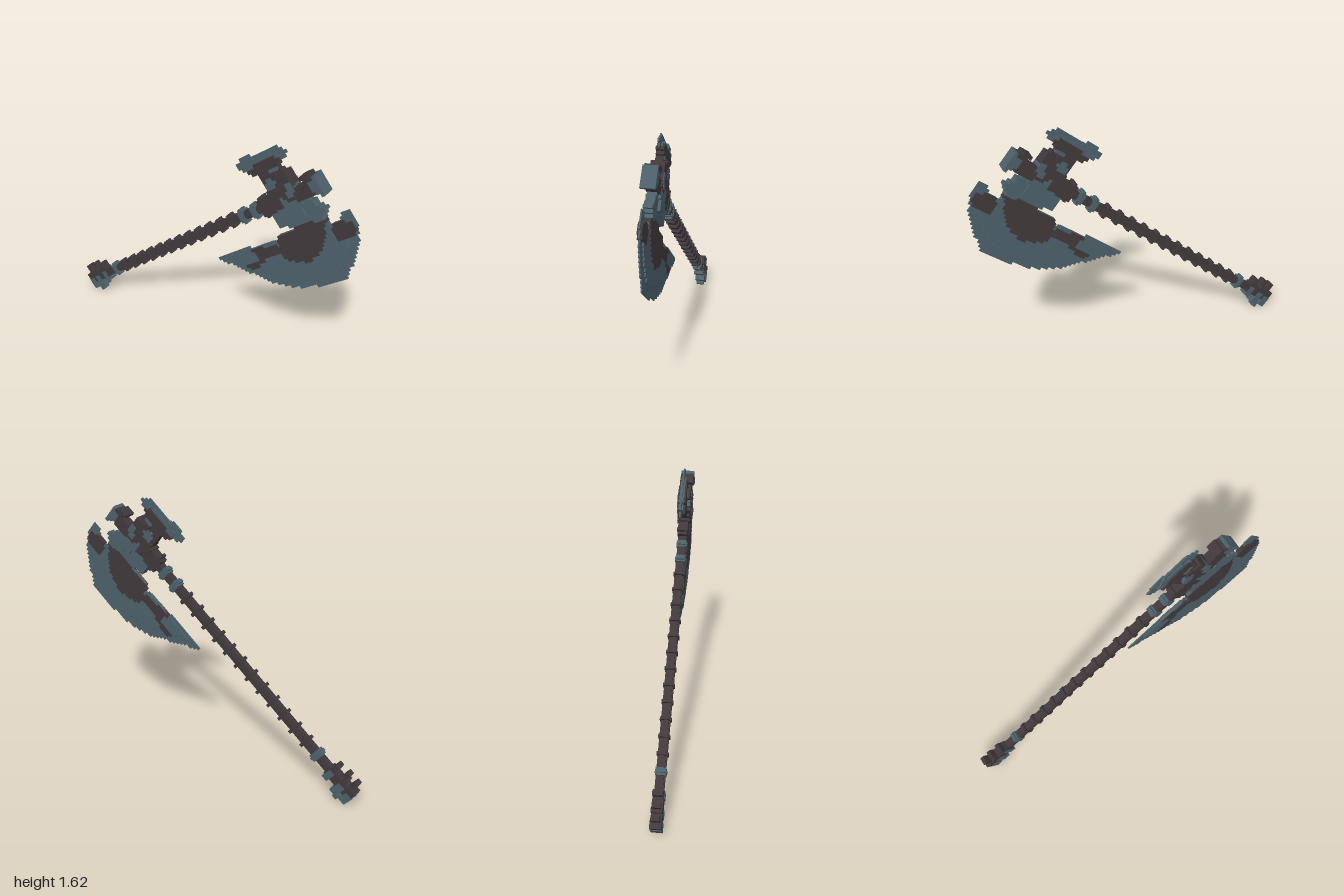
import * as THREE from 'three';
import { mergeGeometries } from 'three/addons/utils/BufferGeometryUtils.js';

const ANGLE = 40 * Math.PI / 180, HEAD = [0.52, 1.31], CELL = 0.02;
const C = Math.cos(ANGLE), S = Math.sin(ANGLE);

// world x,y -> axe frame (u along the shaft, v across it)
const toLocal = ([x, y]) => {
  const dx = x - HEAD[0], dy = y - HEAD[1];
  return [C * dx + S * dy, -S * dx + C * dy];
};
const snap = (t) => Math.round(t / CELL) * CELL;

// Fills an outline with rows of square cells, giving stepped edges
function blockSlab(outline, depth) {
  const p = outline.map(toLocal);
  const vs = p.map((q) => q[1]);
  const boxes = [];
  const top = Math.max(...vs);
  for (let r = Math.floor(Math.min(...vs) / CELL); r * CELL < top; r++) {
    const v = (r + 0.5) * CELL, cuts = [];
    p.forEach((a, i) => {
      const b = p[(i + 1) % p.length];
      if ((a[1] > v) !== (b[1] > v)) cuts.push(a[0] + (b[0] - a[0]) * (v - a[1]) / (b[1] - a[1]));
    });
    cuts.sort((a, b) => a - b);
    for (let i = 0; i + 1 < cuts.length; i += 2) {
      const a = snap(cuts[i]), b = snap(cuts[i + 1]);
      if (b - a < CELL / 2) continue;
      boxes.push(new THREE.BoxGeometry(b - a, CELL, depth).translate((a + b) / 2, v, 0));
    }
  }
  return mergeGeometries(boxes);
}

export function createModel() {
  const slate = new THREE.MeshStandardMaterial({ color: 0x4c5f69 });
  slate.name = 'slate steel';
  const dark = new THREE.MeshStandardMaterial({ color: 0x40383a });
  dark.name = 'dark iron';

  const axe = new THREE.Group();
  axe.name = 'battleAxe';
  axe.position.set(HEAD[0], HEAD[1], 0);
  axe.rotation.z = ANGLE;

  const add = (name, geo, mat) => {
    const m = new THREE.Mesh(geo, mat);
    m.name = name;
    axe.add(m);
  };
  const slab = (name, mat, depth, outline) => add(name, blockSlab(outline, depth), mat);
  const bar = (name, mat, u0, u1, v0, v1, depth) =>
    add(name, new THREE.BoxGeometry(u1 - u0, v1 - v0, depth).translate((u0 + u1) / 2, (v0 + v1) / 2, 0), mat);

  // Shaft: crossed bars with evenly spaced grip rings
  bar('shaft', dark, -1.9, 0, -0.025, 0.025, 0.04);
  bar('shaftSides', dark, -1.9, 0, -0.015, 0.015, 0.054);
  for (let i = 0; i <= 14; i++) {
    const u = -1.618 + i * 0.101, steel = i === 0 || i >= 13;
    const h = steel ? 0.046 : 0.042;
    bar('gripRing', steel ? slate : dark, u - 0.01, u + 0.01, -h, h, 0.05);
    bar('gripRingSides', steel ? slate : dark, u - 0.01, u + 0.01, -0.026, 0.026, 0.066);
    if (steel) bar('ringCollar', slate, u - 0.022, u + 0.022, -0.034, 0.034, 0.058);
  }
  // Collar under the head
  bar('neckCollar', dark, -0.15, -0.05, -0.05, 0.05, 0.06);
  bar('neckRing', dark, -0.13, -0.11, -0.06, 0.065, 0.066);

  // Pommel: stepped flanges, dark on the upper side and slate below
  bar('pommelCore', dark, -1.92, -1.72, -0.03, 0.035, 0.062);
  bar('pommelCap', slate, -1.94, -1.89, -0.07, 0.005, 0.066);
  bar('pommelCapTop', dark, -1.935, -1.89, 0.005, 0.045, 0.066);
  bar('pommelHorn', dark, -1.9, -1.87, 0.045, 0.1, 0.05);
  bar('pommelFlange', slate, -1.87, -1.82, -0.08, 0.01, 0.064);
  bar('pommelFlangeTip', slate, -1.89, -1.86, -0.1, -0.06, 0.05);
  bar('pommelFlangeTop', dark, -1.85, -1.82, 0.01, 0.06, 0.064);
  bar('pommelFlangeHorn', dark, -1.83, -1.8, 0.06, 0.1, 0.05);
  bar('pommelRing', slate, -1.77, -1.73, -0.055, 0.02, 0.066);
  bar('pommelRingTop', dark, -1.76, -1.73, 0.02, 0.08, 0.06);

  // Main blade: thin cutting edge, thicker body, dark centre
  slab('bladeEdge', slate, 0.008, [
    [0.10, 0.73], [0.275, 0.866], [0.355, 0.92], [0.447, 0.984], [0.527, 1.037], [0.505, 1.075],
    [0.60, 1.134], [0.66, 1.30], [0.783, 1.283], [0.826, 1.267], [0.88, 1.32], [0.864, 1.364],
    [0.906, 1.406], [0.97, 1.33], [0.99, 1.225], [0.98, 1.107], [0.945, 0.97], [0.864, 0.89],
    [0.677, 0.775], [0.516, 0.727], [0.17, 0.727]]);
  slab('bladeBody', slate, 0.022, [
    [0.20, 0.79], [0.355, 0.915], [0.447, 0.98], [0.527, 1.037], [0.505, 1.075], [0.60, 1.134],
    [0.66, 1.30], [0.783, 1.283], [0.826, 1.26], [0.89, 1.31], [0.93, 1.24], [0.925, 1.13],
    [0.89, 1.01], [0.81, 0.925], [0.66, 0.83], [0.5, 0.785], [0.30, 0.775]]);
  slab('bladeCentre', dark, 0.034, [
    [0.505, 1.07], [0.53, 1.03], [0.51, 0.98], [0.56, 0.945], [0.65, 0.95], [0.72, 0.985],
    [0.78, 1.07], [0.80, 1.16], [0.79, 1.29], [0.71, 1.25], [0.63, 1.20], [0.59, 1.13]]);
  slab('lowerHornBand', dark, 0.026, [
    [0.29, 0.755], [0.36, 0.77], [0.43, 0.83], [0.45, 0.88], [0.53, 0.95], [0.51, 1.01],
    [0.34, 0.905], [0.41, 0.86], [0.36, 0.81]]);
  slab('upperHornBand', dark, 0.026, [
    [0.82, 1.26], [0.88, 1.32], [0.95, 1.34], [0.97, 1.28], [0.93, 1.23], [0.88, 1.2]]);

  // Head block joining shaft, blades and spike
  slab('headBlock', dark, 0.076, [
    [0.45, 1.30], [0.44, 1.39], [0.46, 1.47], [0.54, 1.50], [0.60, 1.43], [0.64, 1.36], [0.55, 1.27]]);
  slab('headCheek', slate, 0.08, [
    [0.53, 1.35], [0.56, 1.29], [0.62, 1.26], [0.68, 1.29], [0.66, 1.35], [0.62, 1.38], [0.59, 1.33]]);
  slab('headLower', slate, 0.05, [
    [0.45, 1.22], [0.52, 1.34], [0.60, 1.31], [0.64, 1.38], [0.71, 1.385], [0.78, 1.36],
    [0.785, 1.28], [0.68, 1.25], [0.60, 1.17], [0.53, 1.15]]);
  slab('headThroat', dark, 0.056, [[0.38, 1.20], [0.41, 1.27], [0.49, 1.34], [0.54, 1.27], [0.46, 1.2]]);
  slab('headPatch', slate, 0.084, [[0.56, 1.40], [0.55, 1.45], [0.585, 1.45], [0.61, 1.40], [0.59, 1.36]]);

  // Rear blade
  slab('rearBladeEdge', slate, 0.01, [
    [0.22, 1.40], [0.235, 1.45], [0.382, 1.572], [0.463, 1.62], [0.535, 1.62], [0.516, 1.577],
    [0.46, 1.53], [0.40, 1.46], [0.33, 1.41], [0.26, 1.40]]);
  slab('rearBladeBody', slate, 0.028, [
    [0.27, 1.42], [0.30, 1.48], [0.40, 1.555], [0.48, 1.585], [0.47, 1.53], [0.41, 1.44], [0.33, 1.41]]);
  slab('rearBladeNeck', dark, 0.044, [
    [0.31, 1.41], [0.36, 1.50], [0.45, 1.56], [0.50, 1.56], [0.49, 1.51], [0.57, 1.48],
    [0.60, 1.43], [0.47, 1.31], [0.425, 1.364], [0.39, 1.41]]);
  slab('rearBladePatch', slate, 0.08, [[0.43, 1.38], [0.45, 1.44], [0.49, 1.44], [0.50, 1.39], [0.46, 1.36]]);
  slab('rearBladeSpot', slate, 0.05, [[0.44, 1.47], [0.48, 1.51], [0.49, 1.48], [0.47, 1.45]]);

  // Top spike with flared end
  slab('spikeNeck', dark, 0.06, [[0.60, 1.43], [0.70, 1.50], [0.74, 1.46], [0.66, 1.37], [0.60, 1.36]]);
  slab('spikeFlare', slate, 0.08, [[0.68, 1.49], [0.71, 1.535], [0.75, 1.51], [0.79, 1.45], [0.74, 1.445]]);
  slab('spikeWing', dark, 0.08, [[0.625, 1.50], [0.67, 1.53], [0.72, 1.53], [0.68, 1.49]]);

  const model = new THREE.Group();
  model.name = 'axeModel';
  model.add(axe);
  return model;
}
